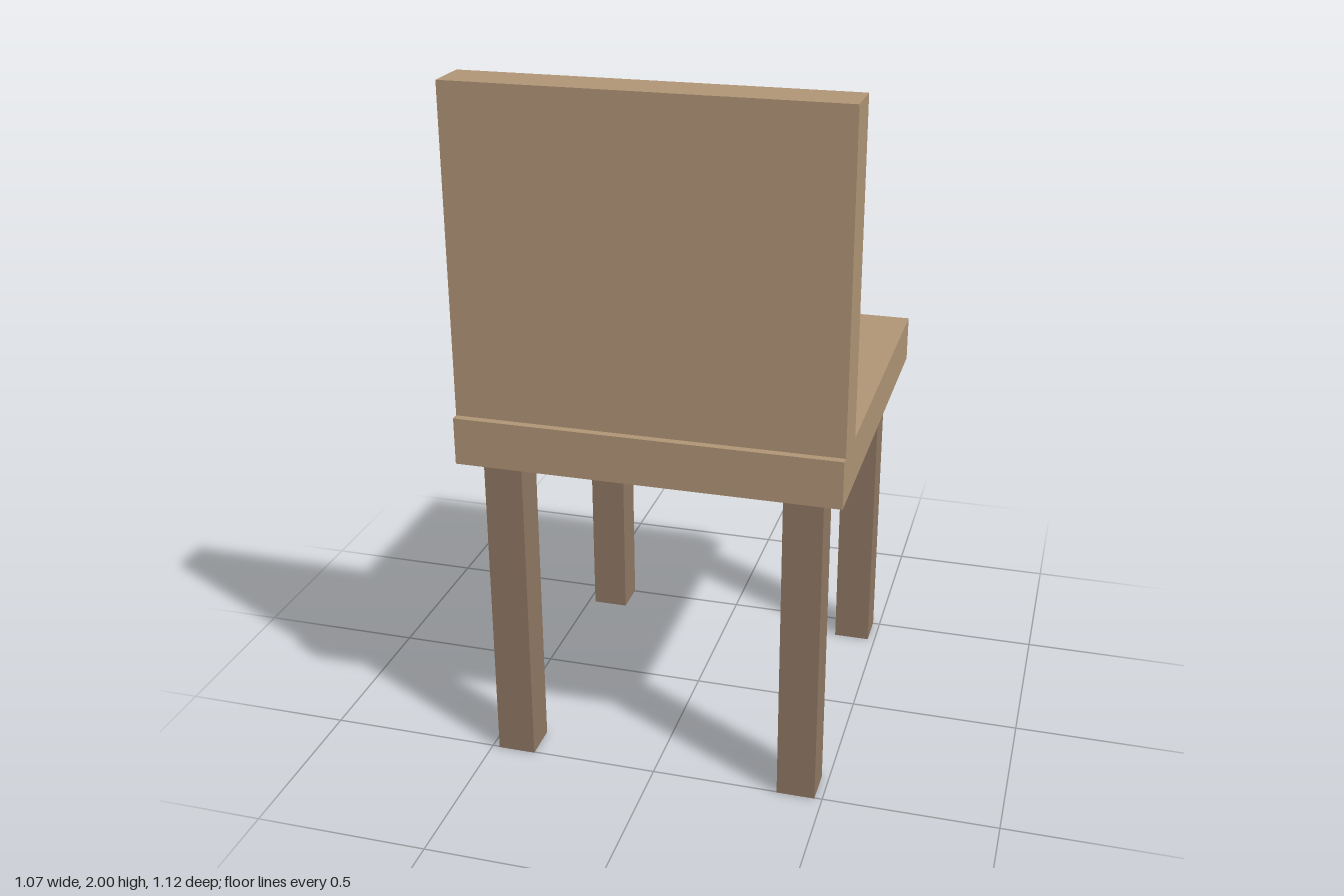
import * as THREE from 'three';

export function createModel() {
  const group = new THREE.Group();
  const lightWood = new THREE.MeshStandardMaterial({ color: 0xb09576 });
  const darkWood = new THREE.MeshStandardMaterial({ color: 0x8f7863 });

  // Box given its size and the centre of its underside
  function addBox(name, material, [w, h, d], [x, y, z]) {
    const mesh = new THREE.Mesh(new THREE.BoxGeometry(w, h, d), material);
    mesh.name = name;
    mesh.position.set(x, y + h / 2, z);
    group.add(mesh);
  }

  const legHeight = 0.95;
  const seatThickness = 0.135;
  const seatTop = legHeight + seatThickness;

  // Seat slab and upright backrest, set in slightly from the seat's +z edge
  addBox('seat', lightWood, [1.074, seatThickness, 1.116], [0, legHeight, 0]);
  addBox('backrest', lightWood, [1.074, 2 - seatTop, 0.134], [0, seatTop, 0.469]);

  // Four square legs
  for (const [end, z] of [['front', 0.448], ['back', -0.448]]) {
    for (const [side, x] of [['Left', 0.423], ['Right', -0.423]]) {
      addBox(`${end}${side}Leg`, darkWood, [0.11, legHeight, 0.11], [x, 0, z]);
    }
  }

  return group;
}
